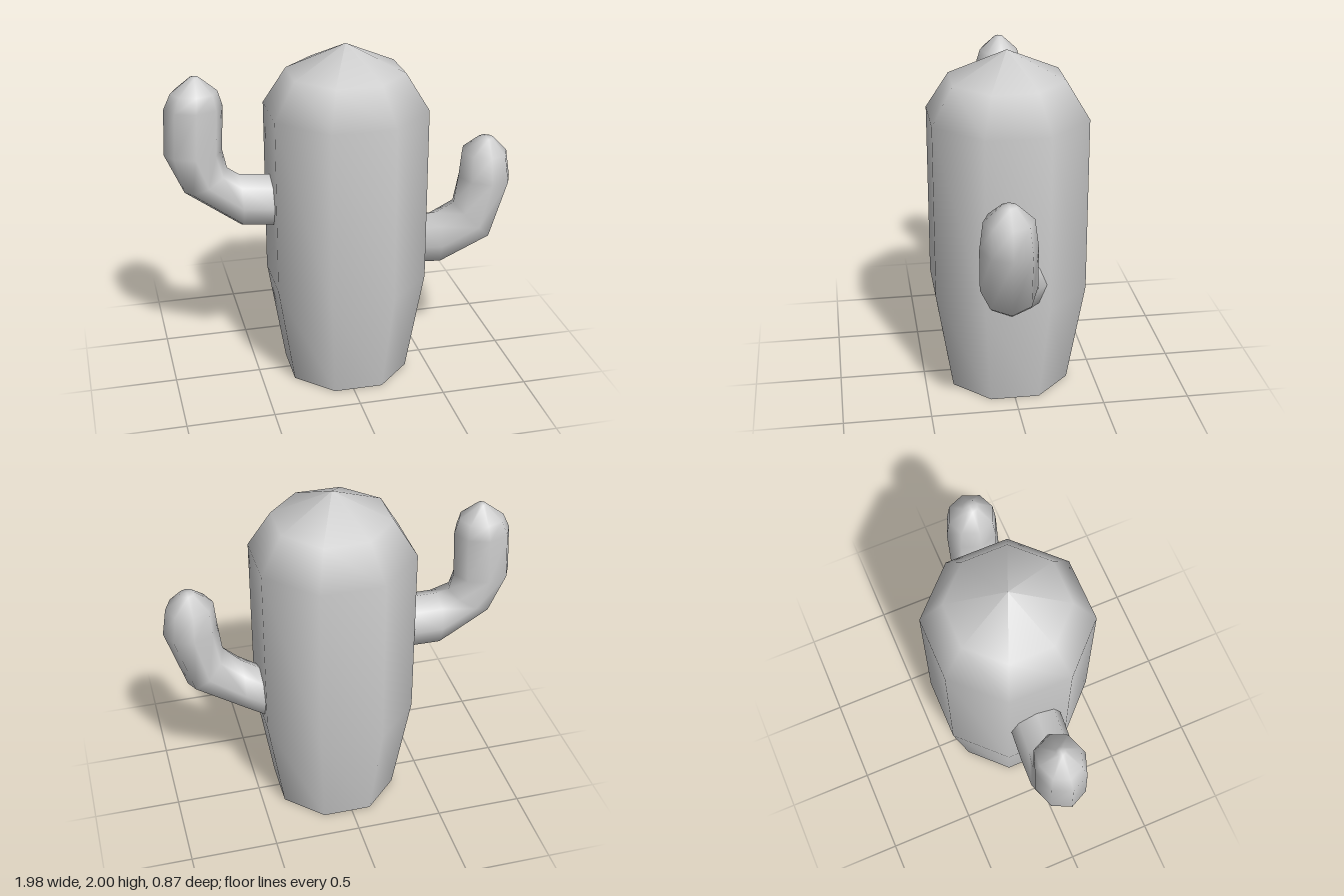
import * as THREE from 'three';

const SIDES = 8;
const material = new THREE.MeshStandardMaterial({ color: 0xcccccc });

function addMesh(group, name, geometry) {
  const mesh = new THREE.Mesh(geometry, material);
  mesh.name = name;
  group.add(mesh);
  return mesh;
}

// Each ring: [outer x, outer y, inner x, inner y, centre z, half depth in z].
// side is +1 for an arm growing toward +x, -1 toward -x.
function armGeometry(rings, side) {
  const positions = [], indices = [];
  for (const [ox, oy, ix, iy, z, depth] of rings) {
    for (let j = 0; j < SIDES; j++) {
      const a = (j / SIDES) * Math.PI * 2;
      const t = (1 + Math.cos(a)) / 2;
      positions.push(ox + (ix - ox) * t, oy + (iy - oy) * t, z + side * depth * Math.sin(a));
    }
  }
  for (let i = 0; i < rings.length - 1; i++) {
    for (let j = 0; j < SIDES; j++) {
      const k = (j + 1) % SIDES;
      const a = i * SIDES + j, b = i * SIDES + k;
      indices.push(a, b, b + SIDES, a, b + SIDES, a + SIDES);
    }
  }
  // Close the tip with a fan
  const last = rings[rings.length - 1];
  const base = (rings.length - 1) * SIDES, tip = positions.length / 3;
  positions.push((last[0] + last[2]) / 2, (last[1] + last[3]) / 2 + 0.004, last[4]);
  for (let j = 0; j < SIDES; j++) indices.push(base + j, base + ((j + 1) % SIDES), tip);

  const geometry = new THREE.BufferGeometry();
  geometry.setAttribute('position', new THREE.Float32BufferAttribute(positions, 3));
  geometry.setIndex(indices);
  geometry.computeVertexNormals();
  return geometry;
}

export function createModel() {
  const group = new THREE.Group();
  group.name = 'cactus';

  // Eight-sided trunk with its flats facing the axes; radii are measured to the flats
  const toCorner = 1 / Math.cos(Math.PI / SIDES);
  const profile = [[0.34, 0], [0.436, 0.61], [0.436, 1.635], [0.312, 1.845], [0, 2]]
    .map(([r, y]) => new THREE.Vector2(r * toCorner, y));
  const trunk = addMesh(group, 'trunk', new THREE.LatheGeometry(profile, SIDES, Math.PI / SIDES));
  trunk.position.x = 0.03;

  // Flat underside
  const underside = new THREE.CircleGeometry(0.34 * toCorner, SIDES, Math.PI / SIDES);
  underside.rotateX(Math.PI / 2);
  addMesh(group, 'trunkBase', underside).position.x = 0.03;

  // Lower arm on the left side
  addMesh(group, 'leftArm', armGeometry([
    [0.40, 0.61, 0.40, 0.91, -0.05, 0.15],
    [0.47, 0.62, 0.47, 0.925, -0.01, 0.15],
    [0.565, 0.64, 0.56, 0.95, 0.05, 0.15],
    [0.87, 0.81, 0.655, 1.025, 0.095, 0.155],
    [0.985, 1.17, 0.675, 1.19, 0.105, 0.155],
    [0.96, 1.33, 0.69, 1.34, 0.105, 0.135],
    [0.875, 1.419, 0.79, 1.421, 0.105, 0.045],
  ], 1));

  // Taller arm on the right side
  addMesh(group, 'rightArm', armGeometry([
    [-0.34, 0.945, -0.34, 1.255, -0.01, 0.15],
    [-0.40, 0.95, -0.40, 1.26, -0.015, 0.15],
    [-0.575, 0.96, -0.58, 1.272, -0.03, 0.15],
    [-0.885, 1.175, -0.64, 1.305, -0.06, 0.14],
    [-0.99, 1.41, -0.662, 1.41, -0.07, 0.14],
    [-0.975, 1.675, -0.65, 1.675, -0.07, 0.14],
    [-0.935, 1.76, -0.675, 1.76, -0.07, 0.115],
    [-0.825, 1.845, -0.775, 1.845, -0.07, 0.025],
  ], -1));

  return group;
}
